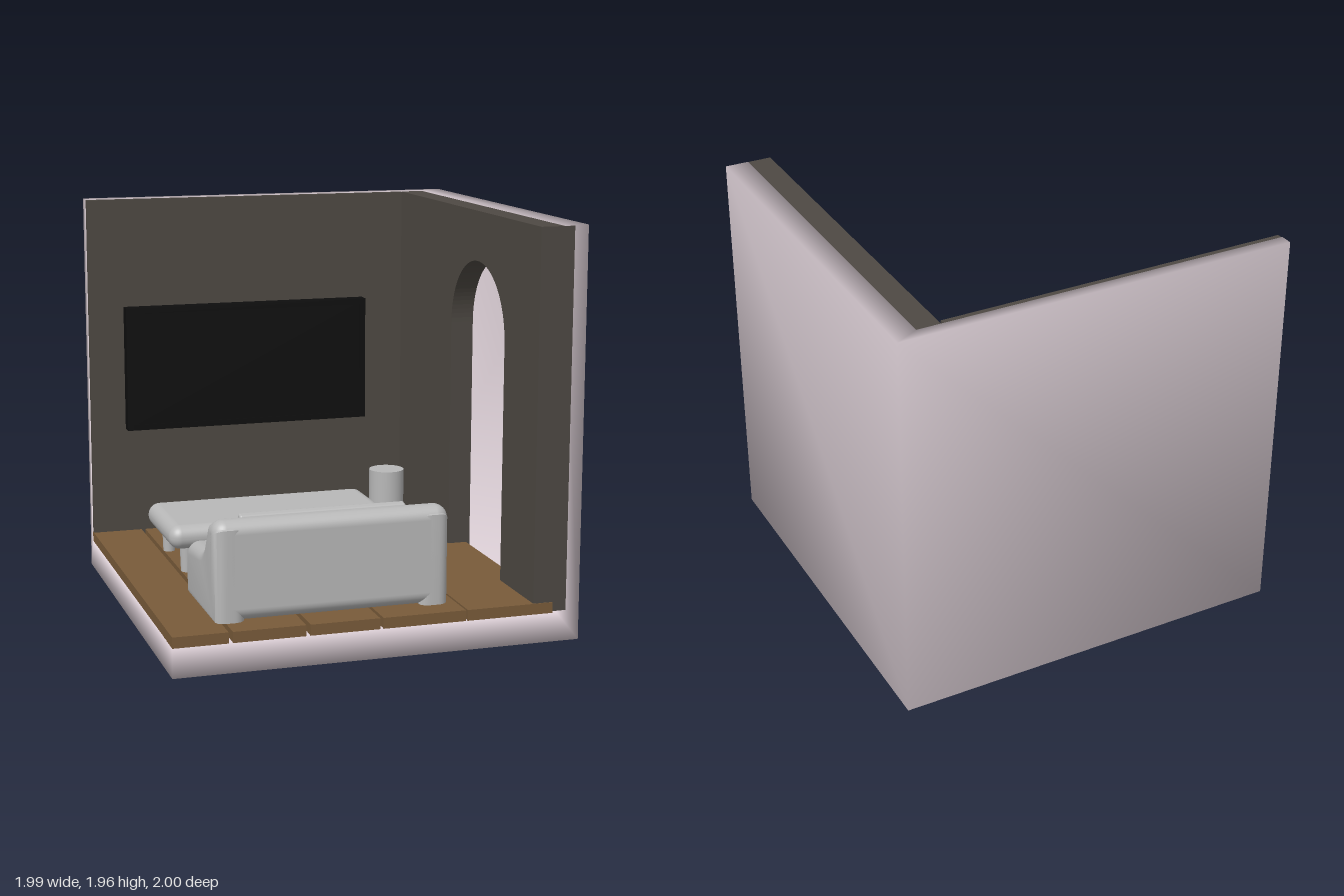
import * as THREE from 'three';
import { mergeVertices, toCreasedNormals } from 'three/addons/utils/BufferGeometryUtils.js';
import { RoundedBoxGeometry } from 'three/addons/geometries/RoundedBoxGeometry.js';

const paint = (name, color) => {
  const m = new THREE.MeshStandardMaterial({ color });
  m.name = name;
  return m;
};

export function createModel() {
  const pink = paint('pale pink shell', 0xdccfd6);
  const brown = paint('brown wood', 0x795b3a);
  const dark = paint('dark grey wall', 0x4e4943);
  const black = paint('black screen', 0x0e0e0e);
  const grey = paint('light grey furniture', 0xb8b8b8);

  const model = new THREE.Group();
  model.name = 'livingRoom';
  const room = new THREE.Group();
  room.name = 'room';
  room.rotation.y = 0.016; // the whole room stands slightly turned
  model.add(room);

  const add = (name, geo, mat, x = 0, y = 0, z = 0, parent = room) => {
    const mesh = new THREE.Mesh(geo, mat);
    mesh.name = name;
    mesh.position.set(x, y, z);
    parent.add(mesh);
    return mesh;
  };
  // Box given by its limits on each axis
  const slab = (name, mat, [x0, x1], [y0, y1], [z0, z1]) =>
    add(name, new THREE.BoxGeometry(x1 - x0, y1 - y0, z1 - z0), mat,
      (x0 + x1) / 2, (y0 + y1) / 2, (z0 + z1) / 2);
  const soft = (w, h, d, r) => new RoundedBoxGeometry(w, h, d, 5, r);

  // Outer shell: floor and two walls in one softly shaded solid.
  // Each corner is named by its x, y and z level.
  const levels = [[-0.98, 0.865, 0.982], [0, 0.145, 1.963], [-0.982, -0.92, 0.975]];
  const quads = [
    '000 200 202 002', '000 020 220 200', '200 220 222 202', // outside
    '000 002 012 011', '000 011 021 020', // left edge
    '002 202 112 012', '202 222 122 112', // front edge
    '021 121 220 020', '121 122 222 220', // top edge
    '011 012 112 111', '011 111 121 021', '111 112 122 121', // inside
  ];
  const corners = [], points = [], index = [];
  const corner = (code) => {
    if (!corners.includes(code)) {
      corners.push(code);
      points.push(...levels.map((l, axis) => l[+code[axis]]));
    }
    return corners.indexOf(code);
  };
  for (const q of quads) {
    const [a, b, c, d] = q.split(' ').map(corner);
    index.push(a, b, c, a, c, d);
  }
  const shell = new THREE.BufferGeometry();
  shell.setAttribute('position', new THREE.Float32BufferAttribute(points, 3));
  shell.setIndex(index);
  shell.computeVertexNormals();
  add('outerShell', shell, pink);

  // Floor planks with narrow gaps
  const planks = [[-0.98, -0.722], [-0.702, -0.36], [-0.34, -0.008], [0.008, 0.41], [0.42, 0.845]];
  for (const p of planks) slab('floorPlank', brown, p, [0.143, 0.195], [-0.915, 0.983]);

  // Wall panels; the side one has an arched niche down to the floor
  slab('backWallPanel', dark, [-0.978, 0.738], [0.15, 1.96], [-0.925, -0.89]);
  const side = new THREE.Shape();
  side.moveTo(-0.93, 0.15);
  side.lineTo(-0.14, 0.15);
  side.lineTo(-0.14, 1.36);
  side.absarc(0.215, 1.36, 0.355, Math.PI, 0, true);
  side.lineTo(0.57, 0.15);
  side.lineTo(0.979, 0.15);
  side.lineTo(0.979, 1.96);
  side.lineTo(-0.93, 1.96);
  const sideGeo = new THREE.ExtrudeGeometry(side, { depth: 0.165, bevelEnabled: false, curveSegments: 24 });
  sideGeo.rotateY(-Math.PI / 2); // profile runs along z, thickness along x
  add('sideWallPanel', sideGeo, dark, 0.913, 0, 0);

  // Television with a slim raised frame
  const [tx, ty, tz] = [-0.142, 1.075, -0.86];
  add('televisionScreen', new THREE.BoxGeometry(1.29, 0.63, 0.06), black, tx, ty, tz);
  for (const s of [-1, 1]) {
    add('televisionFrameSide', new THREE.BoxGeometry(0.03, 0.65, 0.07), black, tx + s * 0.64, ty, tz);
    add('televisionFrameRail', new THREE.BoxGeometry(1.25, 0.03, 0.07), black, tx, ty + s * 0.31, tz);
  }

  // Round side table
  add('sideTable', new THREE.CylinderGeometry(0.093, 0.093, 0.285, 40), grey, 0.597, 0.3375, -0.702);

  // Low table with four legs
  const table = new THREE.Group();
  table.name = 'coffeeTable';
  table.position.set(-0.193, 0.195, -0.238);
  room.add(table);
  add('tableTop', soft(1.155, 0.12, 0.57, 0.058), grey, 0, 0.185, 0, table);
  for (const sx of [-1, 1]) for (const sz of [-1, 1])
    add('tableLeg', new THREE.CylinderGeometry(0.035, 0.03, 0.15, 20), grey, sx * 0.48, 0.075, sz * 0.2, table);

  // Sofa facing the television
  const sofa = new THREE.Group();
  sofa.name = 'sofa';
  sofa.position.set(-0.19, 0.195, 0.572);
  room.add(sofa);
  add('sofaSeat', soft(1.0, 0.145, 0.5, 0.04), grey, 0, 0.0725, -0.04, sofa);
  add('sofaBack', soft(1.13, 0.47, 0.135, 0.062), grey, 0, 0.235, 0.2225, sofa);

  // Arm outline sweeps up into the backrest; the bevel rounds it
  const bevel = 0.055;
  const arm = new THREE.Shape();
  arm.moveTo(-0.235, 0.03);
  arm.lineTo(-0.235, 0.17);
  arm.quadraticCurveTo(-0.235, 0.2, -0.2, 0.205);
  arm.lineTo(-0.02, 0.22);
  arm.bezierCurveTo(0.1, 0.235, 0.12, 0.3, 0.18, 0.4);
  arm.quadraticCurveTo(0.21, 0.415, 0.235, 0.4);
  arm.lineTo(0.235, 0.03);
  let armGeo = new THREE.ExtrudeGeometry(arm, {
    depth: 0.15 - 2 * bevel, bevelThickness: bevel, bevelSize: bevel, bevelSegments: 6, curveSegments: 10,
  });
  armGeo.deleteAttribute('uv');
  armGeo.deleteAttribute('normal');
  armGeo = mergeVertices(armGeo, 1e-4);
  armGeo.rotateY(-Math.PI / 2);
  armGeo.translate(0.075 - bevel, 0, 0);
  // keep the base level with the floor
  const ap = armGeo.attributes.position;
  for (let i = 0; i < ap.count; i++) ap.setY(i, Math.max(0, ap.getY(i)));
  armGeo = toCreasedNormals(armGeo, 0.7);
  for (const s of [-1, 1]) add('sofaArm', armGeo, grey, s * 0.49, 0, 0, sofa);

  // Leaning back cushion and two domed seat cushions
  add('backCushion', soft(0.8, 0.345, 0.045, 0.012), grey, -0.02, 0.305, 0.145, sofa).rotation.x = 0.17;
  for (const x of [-0.23, 0.2]) {
    add('seatCushion', soft(0.325, 0.06, 0.24, 0.025), grey, x, 0.165, -0.035, sofa);
    add('seatCushionDome', new THREE.SphereGeometry(1, 28, 16), grey, x, 0.188, -0.03, sofa)
      .scale.set(0.12, 0.025, 0.075);
  }

  return model;
}
